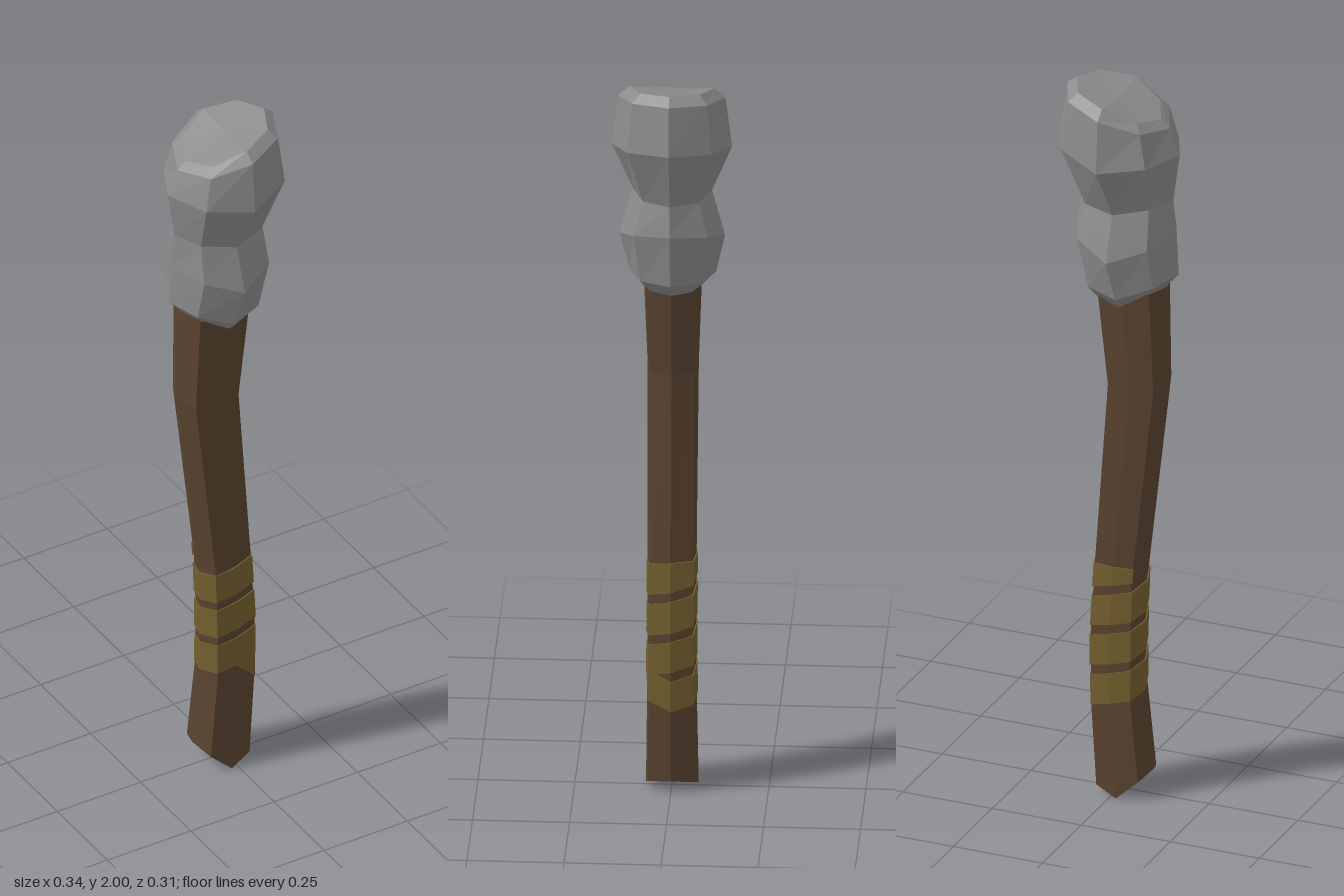
import * as THREE from 'three';

const SIDES = 8;

// Flat-shaded skin over a list of closed cross-sections, with capped ends
function loft(sections) {
  const n = sections[0].length;
  const pos = [];
  const tri = (a, b, c) => pos.push(...a.toArray(), ...b.toArray(), ...c.toArray());
  for (let i = 0; i < sections.length - 1; i++) {
    const lo = sections[i], hi = sections[i + 1];
    for (let k = 0; k < n; k++) {
      const m = (k + 1) % n;
      tri(lo[k], hi[k], lo[m]);
      tri(lo[m], hi[k], hi[m]);
    }
  }
  const cap = (s, flip) => {
    const c = new THREE.Vector3();
    s.forEach((p) => c.addScaledVector(p, 1 / n));
    for (let k = 0; k < n; k++) {
      const a = s[k], b = s[(k + 1) % n];
      flip ? tri(c, a, b) : tri(c, b, a);
    }
  };
  cap(sections[0], true);
  cap(sections[sections.length - 1], false);
  const g = new THREE.BufferGeometry();
  g.setAttribute('position', new THREE.Float32BufferAttribute(pos, 3));
  g.computeVertexNormals();
  return g;
}

function part(name, geometry, color) {
  const mesh = new THREE.Mesh(geometry, new THREE.MeshStandardMaterial({ color, flatShading: true }));
  mesh.name = name;
  return mesh;
}

// Unit octagon corner; kx and kz place the diagonal corners
function corner(k, kx, kz) {
  const a = (k * Math.PI * 2) / SIDES;
  const diagonal = Math.abs(k % 2) === 1;
  return [
    diagonal ? Math.sign(Math.cos(a)) * kx : Math.round(Math.cos(a)),
    diagonal ? Math.sign(Math.sin(a)) * kz : Math.round(Math.sin(a)),
  ];
}

// Tilted octagon: x and y at its two sides, y at front and back, half depth
function ring([xL, yL, xR, yR, yMid, depth], kx, kz) {
  return Array.from({ length: SIDES }, (_, k) => {
    const [c, s] = corner(k, kx, kz);
    const y = yMid + Math.abs(c) * ((c > 0 ? yR : yL) - yMid);
    return new THREE.Vector3((xL + xR) / 2 + (c * (xR - xL)) / 2, y, s * depth);
  });
}

const WOOD = [0.75, 0.88];
const STONE = [0.7, 0.7];

const handleRings = [
  [-0.095, 0.07, 0.06, 0.035, 0, 0.068],
  [-0.07, 0.3, 0.074, 0.24, 0.27, 0.064],
  [-0.07, 0.45, 0.076, 0.45, 0.45, 0.063],
  [-0.075, 0.62, 0.065, 0.64, 0.63, 0.063],
  [-0.14, 1.17, 0.03, 1.17, 1.17, 0.066],
  [-0.135, 1.45, 0.06, 1.45, 1.45, 0.076],
];

const headRings = [
  [-0.12, 1.44, 0.06, 1.41, 1.405, 0.078],
  [-0.165, 1.49, 0.095, 1.45, 1.44, 0.112],
  [-0.158, 1.6, 0.12, 1.6, 1.55, 0.136],
  [-0.15, 1.7, 0.105, 1.68, 1.675, 0.102],
  [-0.168, 1.83, 0.168, 1.85, 1.81, 0.155],
  [-0.14, 1.9, 0.147, 1.98, 1.95, 0.138],
  [-0.115, 1.92, 0.12, 2.0, 1.975, 0.11],
];

// Point on the handle's corner k at height y, scaled out from its axis
function onHandle(k, y, scale) {
  let i = 0;
  while (i < handleRings.length - 2 && handleRings[i + 1][4] < y) i++;
  const a = handleRings[i], b = handleRings[i + 1];
  const t = (y - a[4]) / (b[4] - a[4]);
  const at = (j) => THREE.MathUtils.lerp(a[j], b[j], t);
  const [c, s] = corner(k, ...WOOD);
  return new THREE.Vector3((at(0) + at(2)) / 2 + (c * scale * (at(2) - at(0))) / 2, y, s * scale * at(5));
}

// Strap spiralling up the grip, its tail tucked diagonally under the first turn
function gripStrap() {
  const sections = [];
  const tail = [0.335, 0.305];
  for (let i = 0; i < 30; i++) {
    const k = (((2 - i) % SIDES) + SIDES) % SIDES;
    const mid = i < 2 ? tail[i] : 0.28 + (i - 2) * 0.014;
    const low = mid - (i < 1 ? 0.02 : 0.043);
    const high = Math.min(mid + (i < 1 ? 0.02 : 0.043), 0.655);
    const out = 1.04 + i * 0.0006;
    sections.push([onHandle(k, low, out), onHandle(k, high, out), onHandle(k, high, 0.9), onHandle(k, low, 0.9)]);
  }
  return loft(sections);
}

export function createModel() {
  const model = new THREE.Group();
  model.name = 'stoneClub';
  model.add(
    part('handle', loft(handleRings.map((r) => ring(r, ...WOOD))), 0x5a4330),
    part('gripStrap', gripStrap(), 0x74602f),
    part('stoneHead', loft(headRings.map((r) => ring(r, ...STONE))), 0x8c8c8c),
  );
  return model;
}
